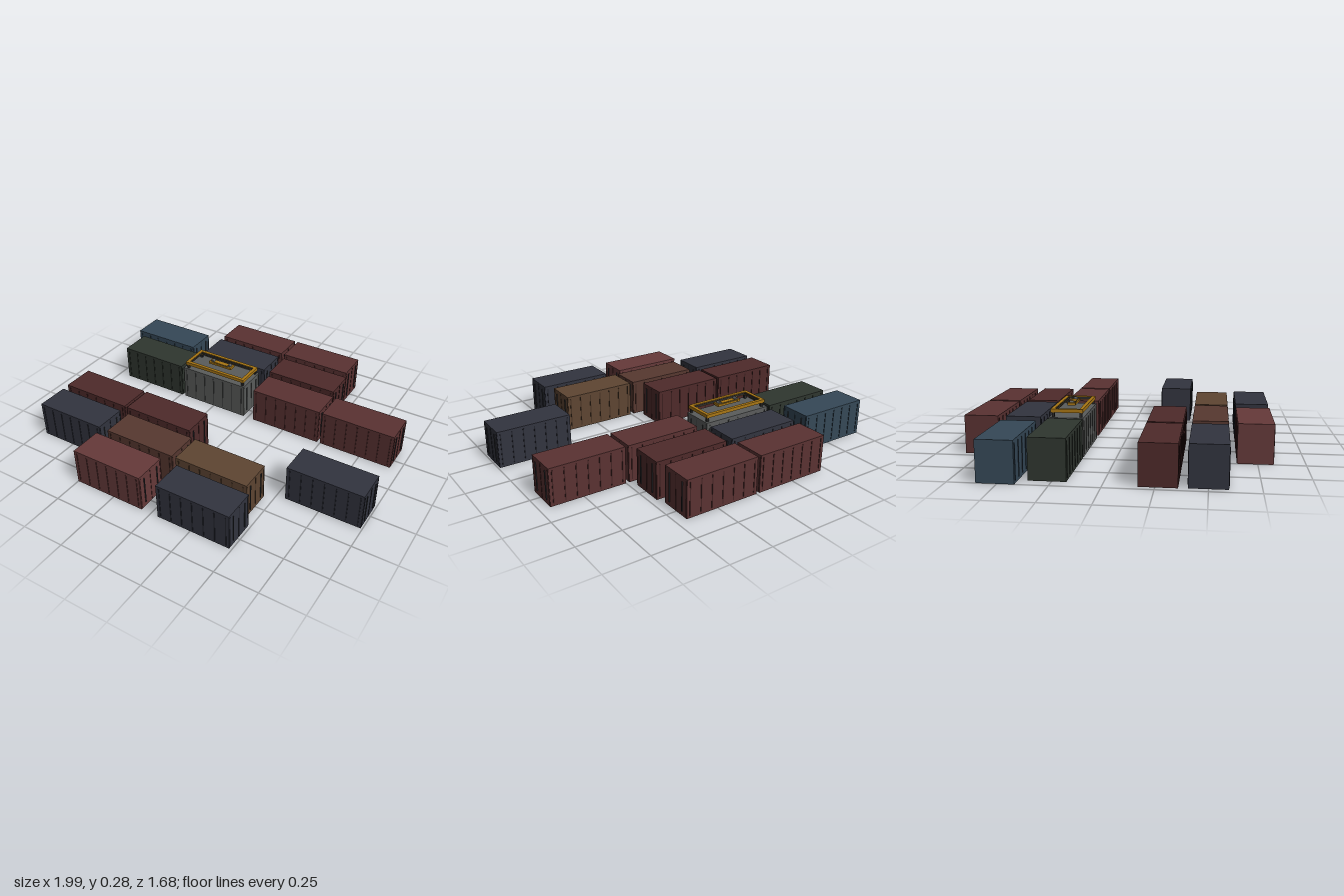
import * as THREE from 'three';

const L = 0.44, H = 0.215, W = 0.19;
const mat = (color) => new THREE.MeshStandardMaterial({ color });
const COLORS = {
  red: 0x5a3232, darkRed: 0x4e2a2a, rose: 0x663a3a, navy: 0x32343f, blue: 0x354857,
  green: 0x2f362f, grey: 0x5a5c5b, rust: 0x573830, brown: 0x5e4532,
};

function box(parent, name, material, size, pos) {
  const mesh = new THREE.Mesh(new THREE.BoxGeometry(...size), material);
  mesh.name = name;
  mesh.position.set(...pos);
  parent.add(mesh);
  return mesh;
}

// Ribbed shipping container with its doors on the +x end
function createContainer(color) {
  const g = new THREE.Group();
  g.name = 'container';
  const skin = mat(color);
  const trim = mat(new THREE.Color(color).multiplyScalar(0.55));
  const steel = mat(0x2a2d30);
  box(g, 'body', skin, [L, H, W], [0, H / 2, 0]);
  for (const s of [-1, 1]) {
    // side ribs
    for (let i = -3; i <= 3; i++) {
      box(g, 'sideRib', trim, [0.006, H - 0.03, 0.005], [i * 0.067, H / 2, s * W / 2]);
    }
    // door locking bars and edge posts
    box(g, 'lockBar', steel, [0.008, H - 0.05, 0.006], [L / 2, H / 2, s * 0.055]);
    box(g, 'doorPost', trim, [0.004, H - 0.02, 0.006], [L / 2, H / 2, s * 0.088]);
  }
  box(g, 'doorSeam', trim, [0.004, H - 0.02, 0.004], [L / 2, H / 2, 0]);
  return g;
}

// Lifting frame that sits above one container
function createSpreader() {
  const g = new THREE.Group();
  g.name = 'spreader';
  const yellow = mat(0xa87614), dark = mat(0x2a2a2a), steel = mat(0x55585a);
  const halfX = 0.21, halfZ = 0.088, bar = 0.02;
  for (const s of [-1, 1]) {
    box(g, 'longBeam', yellow, [2 * halfX, 0.02, bar], [0, 0.25, s * (halfZ - bar / 2)]);
    box(g, 'endBeam', yellow, [bar, 0.02, 2 * (halfZ - bar)], [s * (halfX - bar / 2), 0.25, 0]);
    // dark inner edge of the frame
    box(g, 'longLip', dark, [2 * (halfX - bar), 0.012, 0.003], [0, 0.25, s * (halfZ - bar - 0.001)]);
    box(g, 'endLip', dark, [0.003, 0.012, 2 * (halfZ - bar)], [s * (halfX - bar - 0.001), 0.25, 0]);
    // corner legs with locks
    for (const t of [-1, 1]) {
      box(g, 'cornerLeg', dark, [0.014, 0.032, 0.014], [s * (halfX - 0.012), 0.226, t * (halfZ - 0.012)]);
    }
    // sheave blocks
    box(g, 'hoistBlock', yellow, [0.022, 0.012, 0.045], [s * 0.069, 0.264, 0]);
    const sheave = new THREE.Mesh(new THREE.CylinderGeometry(0.011, 0.011, 0.024, 16), steel);
    sheave.name = 'sheave';
    sheave.rotation.x = Math.PI / 2;
    sheave.position.set(s * 0.06, 0.269, 0);
    g.add(sheave);
  }
  box(g, 'headBeam', yellow, [0.16, 0.012, 0.042], [0, 0.261, 0]);
  box(g, 'headSlot', dark, [0.1, 0.002, 0.03], [0, 0.267, 0]);
  box(g, 'headCover', yellow, [0.094, 0.004, 0.024], [0, 0.268, 0]);
  return g;
}

export function createModel() {
  const model = new THREE.Group();
  model.name = 'containerYard';
  // rows: z, then [x, colour] of each container
  const rows = [
    [-0.745, [[-0.24, 'red'], [0.22, 'red']]],
    [-0.51, [[-0.78, 'blue'], [-0.24, 'navy'], [0.24, 'darkRed']]],
    [-0.273, [[-0.71, 'green'], [-0.25, 'grey'], [0.26, 'red'], [0.72, 'red']]],
    [0.264, [[-0.745, 'darkRed'], [-0.287, 'darkRed'], [0.77, 'navy']]],
    [0.5, [[-0.74, 'navy'], [-0.24, 'rust'], [0.224, 'brown']]],
    [0.737, [[-0.28, 'rose'], [0.265, 'navy']]],
  ];
  for (const [z, items] of rows) {
    for (const [x, color] of items) {
      const c = createContainer(COLORS[color]);
      c.position.set(x, 0, z);
      model.add(c);
    }
  }
  const spreader = createSpreader();
  spreader.position.set(-0.246, 0, -0.27);
  model.add(spreader);
  return model;
}
